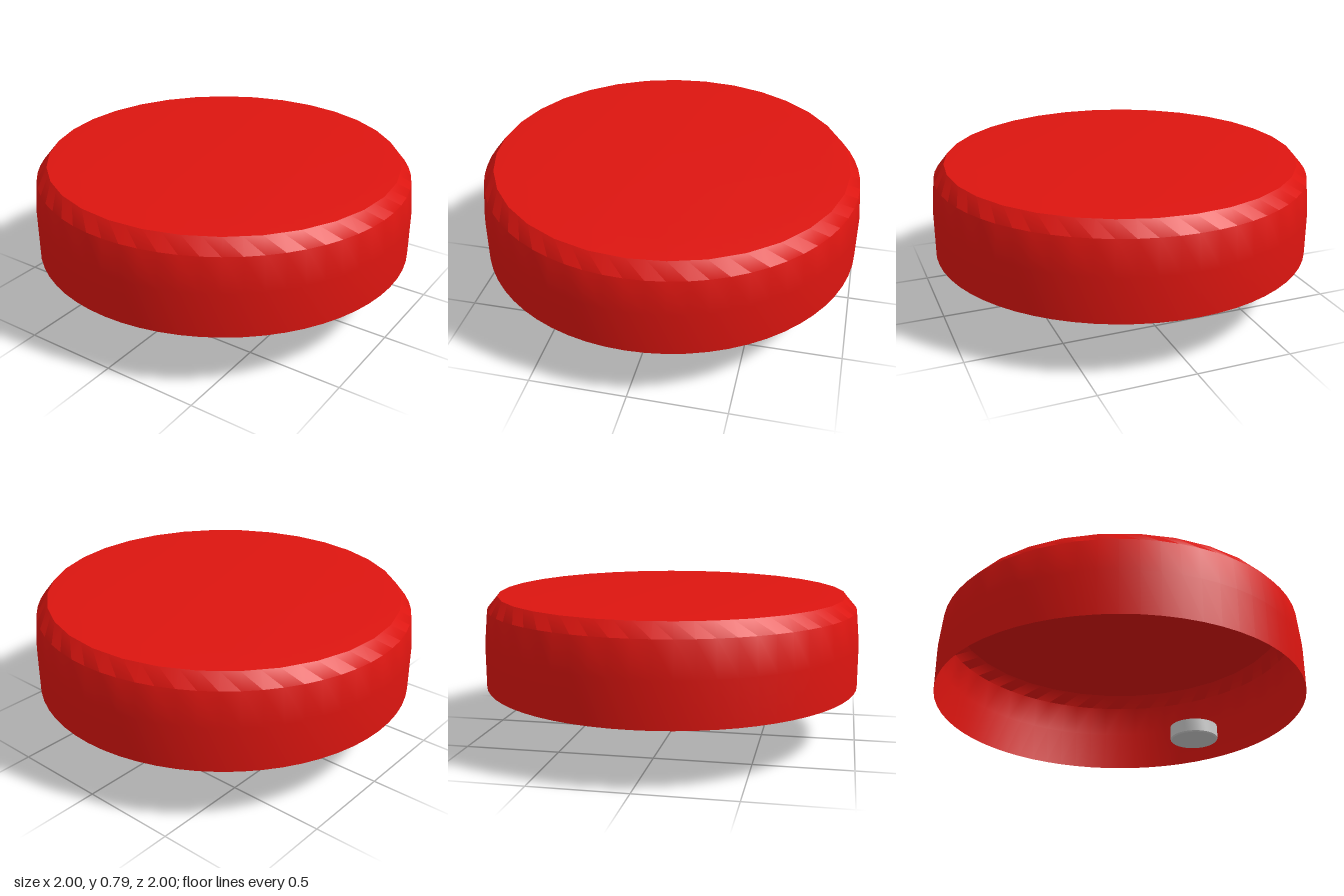
import * as THREE from 'three';
import { toCreasedNormals } from 'three/addons/utils/BufferGeometryUtils.js';

const CREASE = 0.6;

// Turns a profile of [radius, height] pairs into a lathe with sharp creases
function turned(profile, segments, adjust) {
  const points = profile.map(([r, y]) => new THREE.Vector2(r, y));
  const geometry = new THREE.LatheGeometry(points, segments);
  if (adjust) adjust(geometry.attributes.position, points.length);
  return toCreasedNormals(geometry, CREASE);
}

export function createModel() {
  const model = new THREE.Group();
  model.name = 'pushButton';

  const red = new THREE.MeshStandardMaterial({ color: 0xdd1510, side: THREE.DoubleSide });
  const grey = new THREE.MeshStandardMaterial({ color: 0xcccccc });

  // Hollow cap, open underneath: straight wall, slight taper, bevel, shallow crown
  const capProfile = [
    [1, 0.3], [1, 0.53], [0.983, 0.71], [0.927, 0.78], [0.78, 0.79], [0, 0.79],
  ];
  const segments = 64;
  // The rim of the crown has half as many sides as the wall
  const coarsenRim = (position, count) => {
    const chord = Math.cos((2 * Math.PI) / segments);
    for (let s = 1; s < segments; s += 2) {
      for (const ring of [3, 4]) {
        const i = s * count + ring;
        position.setX(i, position.getX(i) * chord);
        position.setZ(i, position.getZ(i) * chord);
      }
    }
  };
  const cap = new THREE.Mesh(turned(capProfile, segments, coarsenRim), red);
  cap.name = 'cap';
  model.add(cap);

  // Small solid foot with a slightly domed underside
  const footProfile = [
    [0, 0], [0.085, 0.004], [0.113, 0.008], [0.119, 0.014], [0.119, 0.077], [0, 0.077],
  ];
  const foot = new THREE.Mesh(turned(footProfile, 32), grey);
  foot.name = 'foot';
  foot.position.set(0.297, 0, 0.322);
  model.add(foot);

  return model;
}
